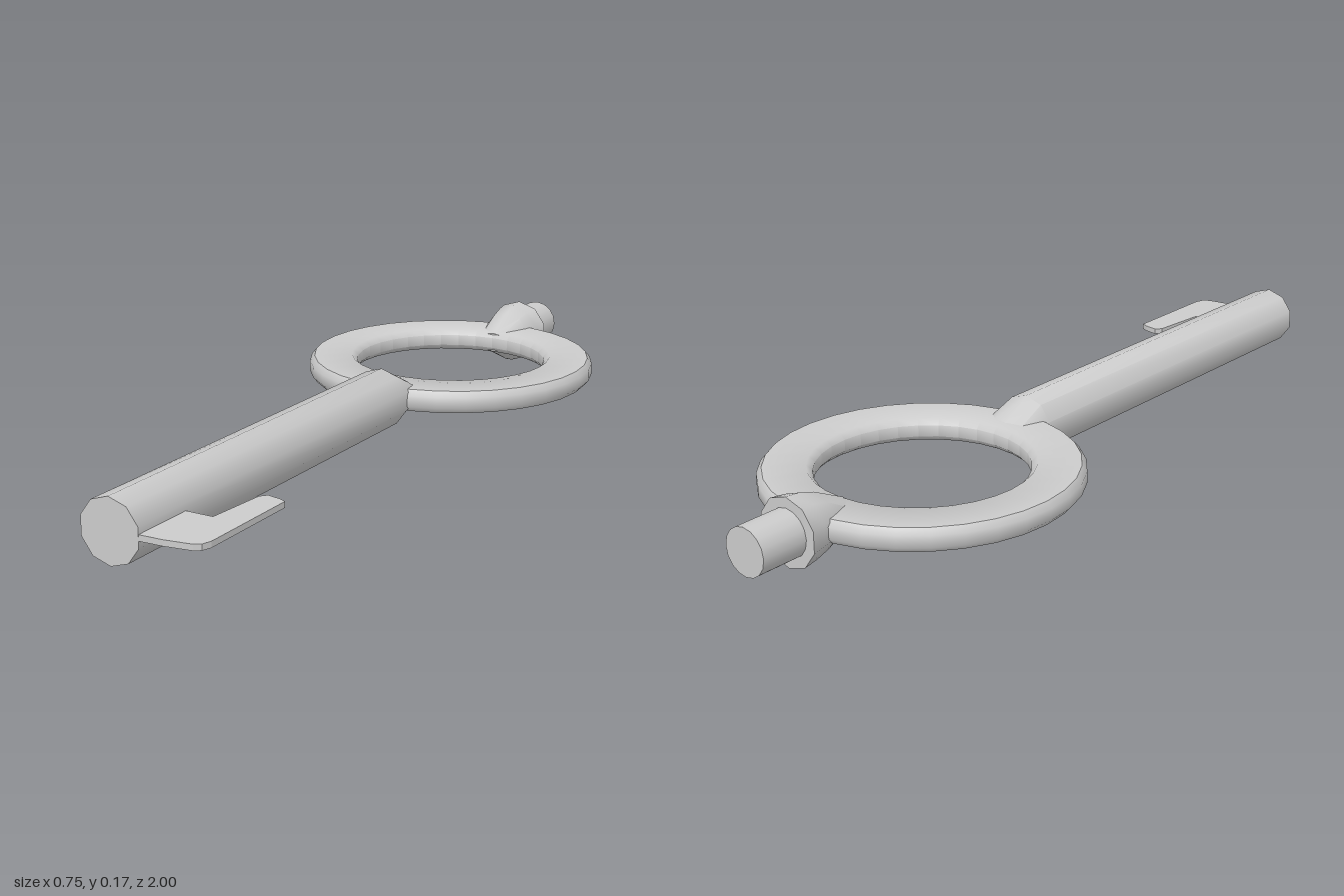
import * as THREE from 'three';
import { toCreasedNormals } from 'three/addons/utils/BufferGeometryUtils.js';

const AXIS_Y = 0.084;
const RING_Z = -0.46;

// Ten-sided rod along z; sections are [z, half width, half height] from back to front
function rod(sections) {
  const n = sections.length - 1;
  const geo = new THREE.CylinderGeometry(1, 1, n, 10, n);
  geo.rotateX(Math.PI / 2);
  const p = geo.attributes.position;
  for (let i = 0; i < p.count; i++) {
    const [z, rx, ry] = sections[Math.round(p.getZ(i) + n / 2)];
    p.setXYZ(i, p.getX(i) * rx, p.getY(i) * ry, z);
  }
  return toCreasedNormals(geo, 0.7);
}

export function createModel() {
  const group = new THREE.Group();
  const material = new THREE.MeshStandardMaterial({ color: 0xcccccc });
  const add = (name, geometry, y = AXIS_Y, z = 0) => {
    const mesh = new THREE.Mesh(geometry, material);
    mesh.name = name;
    mesh.position.set(0, y, z);
    group.add(mesh);
  };

  // Shaft, flattened into a wedge where it enters the ring
  add('shaft', rod([[-0.175, 0.075, 0.024], [-0.09, 0.076, 0.075], [1, 0.076, 0.075]]));

  // Ring handle with bevelled inner and outer rims
  const profile = [
    [0.262, -0.028], [0.362, -0.028], [0.374, -0.014], [0.374, 0.014], [0.362, 0.028],
    [0.262, 0.028], [0.248, 0.014], [0.248, -0.014], [0.262, -0.028],
  ].map(([r, y]) => new THREE.Vector2(r, y));
  add('ringHandle', toCreasedNormals(new THREE.LatheGeometry(profile, 32), 0.8), AXIS_Y, RING_Z);

  // Flared collar and pin at the back of the ring
  add('collar', rod([
    [-0.88, 0.083, 0.083], [-0.84, 0.074, 0.079], [-0.8, 0.068, 0.067], [-0.715, 0.045, 0.026],
  ]));
  const pin = new THREE.CylinderGeometry(0.057, 0.057, 0.14, 16);
  pin.rotateX(Math.PI / 2);
  add('pin', pin, AXIS_Y, -0.93);

  // Thin hooked bit on the left side of the tip; shape y is -z
  const outline = new THREE.Shape([
    [0.05, -1], [0.13, -0.997], [0.195, -0.987], [0.21, -0.977], [0.217, -0.955],
    [0.217, -0.69], [0.2, -0.682], [0.165, -0.675], [0.152, -0.69], [0.14, -0.84], [0.05, -0.84],
  ].map(([x, y]) => new THREE.Vector2(x, y)));
  const bit = new THREE.ExtrudeGeometry(outline, { depth: 0.014, bevelEnabled: false });
  bit.rotateX(-Math.PI / 2);
  add('bit', bit, AXIS_Y - 0.007);

  return group;
}
